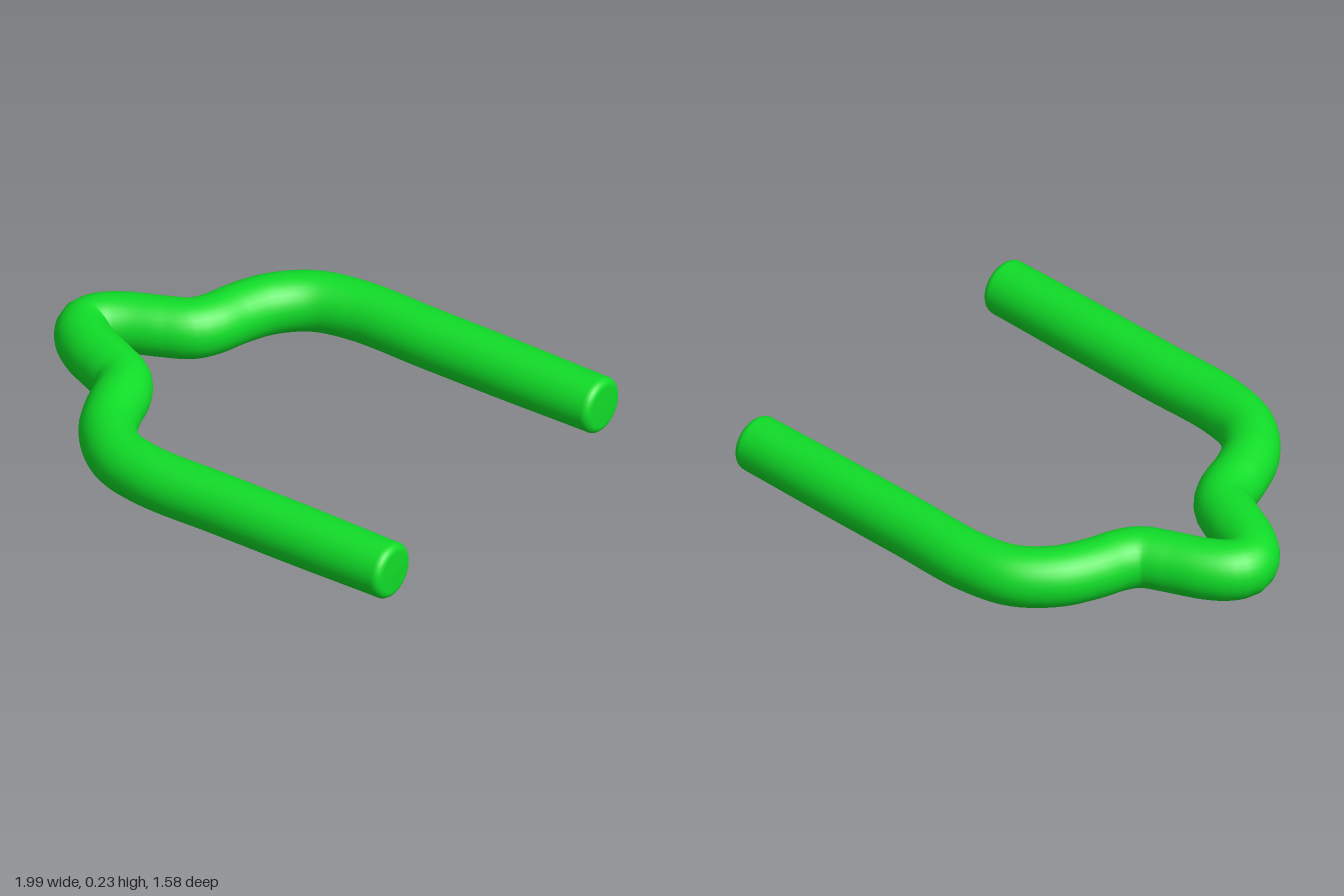
import * as THREE from 'three';

const R = 0.11;       // rod radius in plan
const ARM_Z = 0.677;  // centre line of the straight arms
const END_X = 0.965;  // where the rounded tips begin
const MID_Y = 0.118;

// The rod is slightly taller than wide, settling to round near the tips
function stretchHeight(geometry) {
  const p = geometry.attributes.position;
  for (let i = 0; i < p.count; i++) {
    const t = THREE.MathUtils.smoothstep(p.getX(i), 0.5, 1);
    p.setY(i, p.getY(i) * THREE.MathUtils.lerp(1.068, 1.01, t));
  }
  return geometry;
}

export function createModel() {
  const group = new THREE.Group();
  group.name = 'bentRod';
  const material = new THREE.MeshStandardMaterial({ color: 0x10dd28 });

  const add = (name, geometry) => {
    const mesh = new THREE.Mesh(stretchHeight(geometry), material);
    mesh.name = name;
    mesh.position.y = MID_Y;
    group.add(mesh);
  };

  // Half of the centre line in plan (x, z), from arm tip to just before the nose
  const half = [
    [END_X, ARM_Z], [0.6, ARM_Z], [0.2, ARM_Z], [-0.13, ARM_Z], [-0.3, 0.633],
    [-0.42, 0.525], [-0.483, 0.4], [-0.52, 0.29], [-0.565, 0.222],
    [-0.66, 0.172], [-0.79, 0.112], [-0.862, 0.056],
  ].map(([x, z]) => new THREE.Vector3(x, 0, z));
  const mirrored = half.map((p) => new THREE.Vector3(p.x, 0, -p.z)).reverse();
  const path = new THREE.CatmullRomCurve3([...half, new THREE.Vector3(-0.887, 0, 0), ...mirrored]);
  add('rod', new THREE.TubeGeometry(path, 160, R, 32, false));

  // Rounded tips
  const bevel = 0.03;
  const profile = [];
  for (let i = 0; i <= 6; i++) {
    const a = (i / 6) * Math.PI / 2;
    profile.push(new THREE.Vector2(R - bevel + bevel * Math.cos(a), bevel * Math.sin(a)));
  }
  profile.push(new THREE.Vector2(0, bevel + 0.002));
  for (const side of [1, -1]) {
    const tip = new THREE.LatheGeometry(profile, 32);
    tip.rotateZ(-Math.PI / 2).translate(END_X, 0, side * ARM_Z);
    add(side > 0 ? 'frontTip' : 'backTip', tip);
  }
  return group;
}
